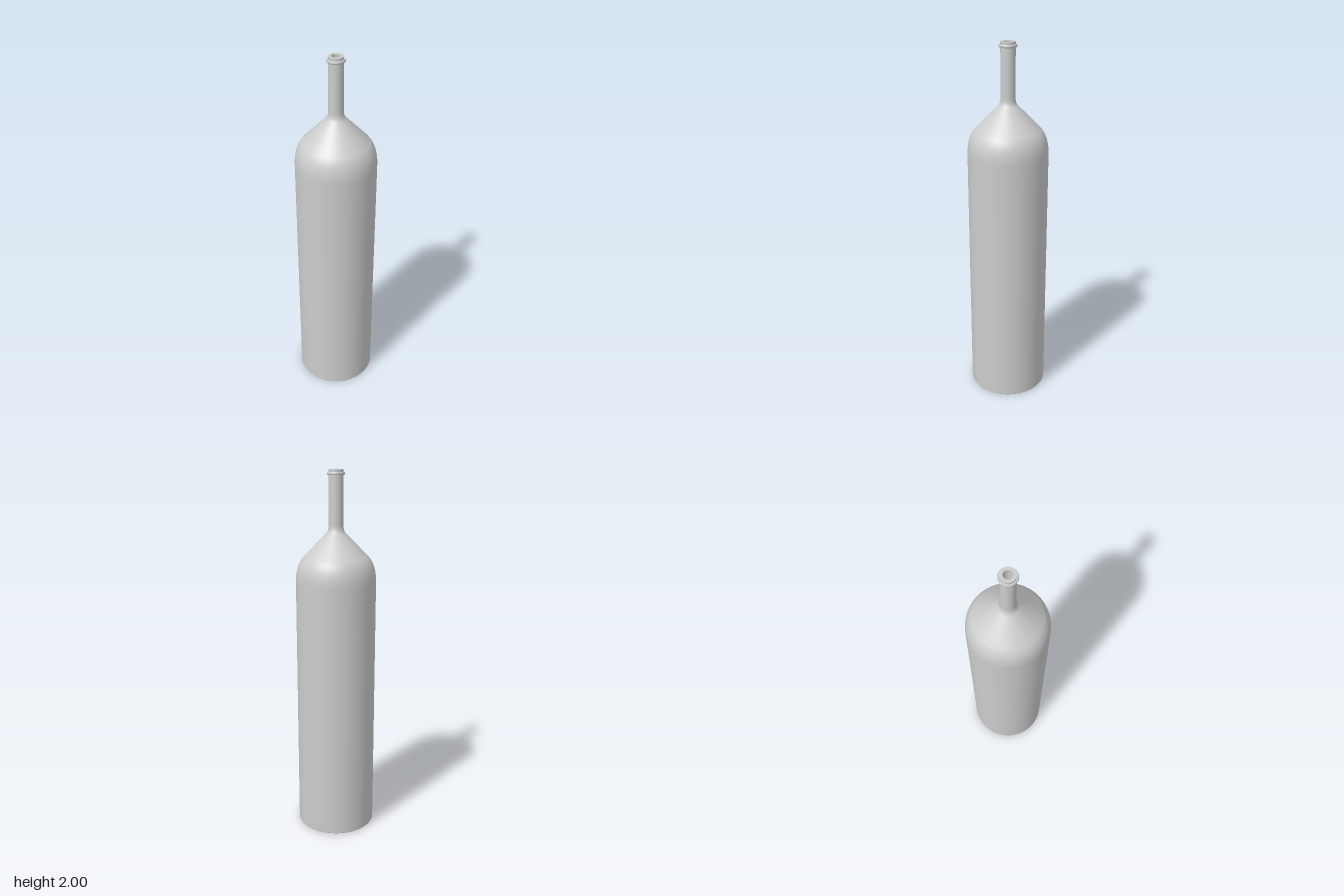
import * as THREE from 'three';

const SEGMENTS = 96;
const material = new THREE.MeshStandardMaterial({ color: 0xcccccc });

// One smooth band of revolution; bands meet at sharp edges
function band(name, points) {
  const profile = points.map(([r, y]) => new THREE.Vector2(r, y));
  const mesh = new THREE.Mesh(new THREE.LatheGeometry(profile, SEGMENTS), material);
  mesh.name = name;
  return mesh;
}

// Sampled quadratic curve between two profile points
function bend(a, control, b, steps = 10) {
  const curve = new THREE.QuadraticBezierCurve(
    new THREE.Vector2(...a), new THREE.Vector2(...control), new THREE.Vector2(...b));
  return curve.getPoints(steps).map((p) => [p.x, p.y]);
}

export function createModel() {
  const bottle = new THREE.Group();
  bottle.name = 'bottle';

  // Flat underside
  bottle.add(band('base', [[0, 0], [0.213, 0]]));

  // Straight body, rounded shoulder, conical slope and slim neck
  bottle.add(band('body', [
    [0.213, 0], [0.216, 0.005], [0.216, 0.7], [0.216, 1.41],
    ...bend([0.216, 1.42], [0.214, 1.5], [0.178, 1.543]),
    [0.15, 1.572], [0.11, 1.613], [0.07, 1.654],
    ...bend([0.054, 1.67], [0.039, 1.685], [0.039, 1.715]),
    [0.039, 1.85], [0.039, 1.972],
  ]));

  // Collar ring just below the mouth
  bottle.add(band('collarUnderside', [[0.039, 1.972], [0.045, 1.972]]));
  bottle.add(band('collar', [
    ...bend([0.045, 1.972], [0.05, 1.979], [0.045, 1.987], 6),
  ]));
  bottle.add(band('collarTop', [[0.045, 1.987], [0.039, 1.987]]));

  // Lip, flat rim and the bore that runs down the neck
  bottle.add(band('lip', [[0.039, 1.987], [0.039, 2]]));
  bottle.add(band('rim', [[0.039, 2], [0.023, 2]]));
  bottle.add(band('bore', [[0.023, 2], [0.023, 1.7]]));
  bottle.add(band('boreFloor', [[0.023, 1.7], [0, 1.7]]));

  return bottle;
}
